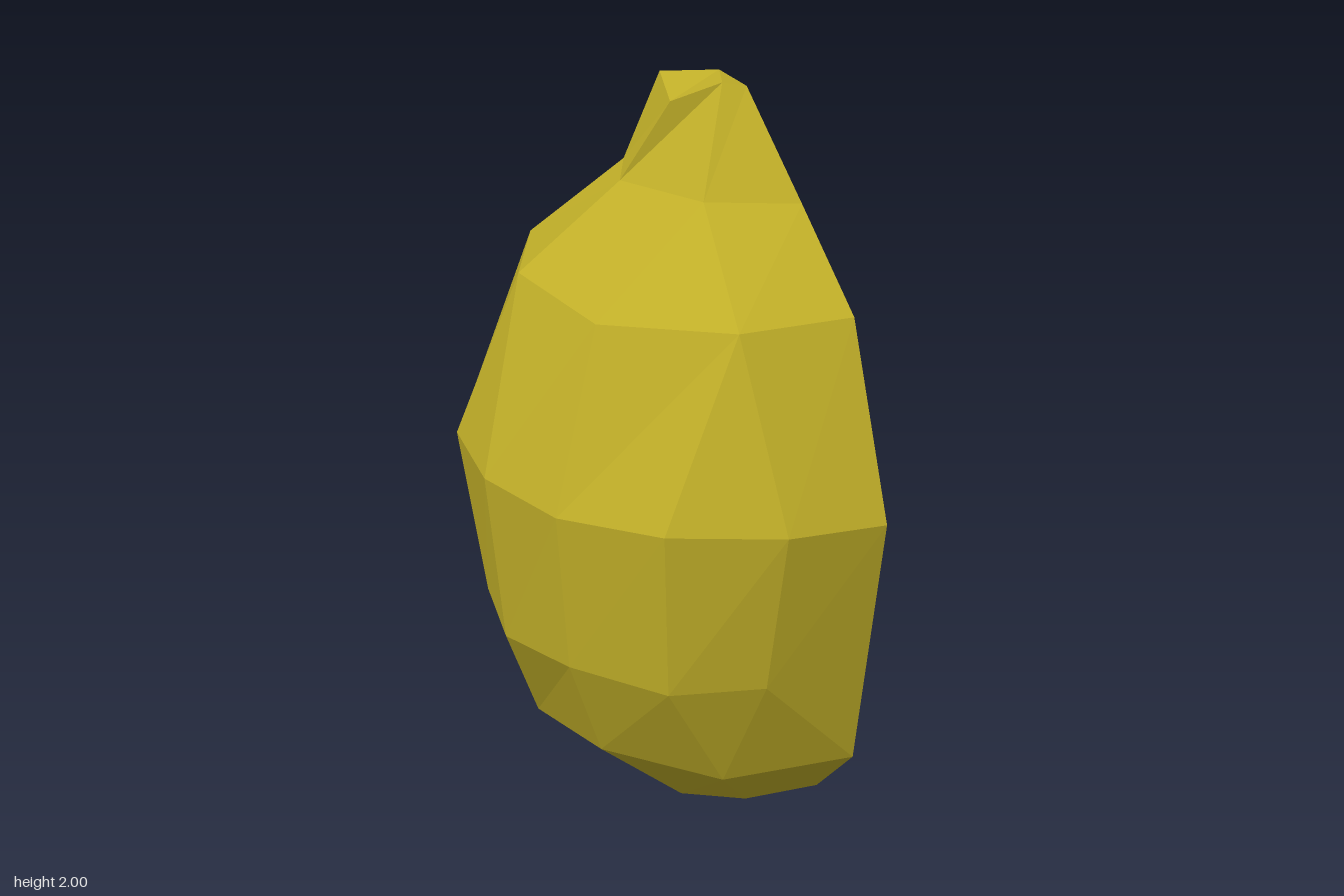
import * as THREE from 'three';

const material = (name, color) => {
  const m = new THREE.MeshStandardMaterial({ color });
  m.name = name;
  return m;
};

// Faceted skin over rows of points; repeated points collapse to triangles.
function facets(name, rows, mat, otherDiagonal = false) {
  const out = [];
  const tri = (...p) => {
    if (new Set(p.map(String)).size === 3) out.push(...p.flat());
  };
  for (let i = 0; i < rows.length - 1; i++) {
    for (let j = 0; j < rows[i].length - 1; j++) {
      const a = rows[i][j], b = rows[i][j + 1];
      const c = rows[i + 1][j + 1], d = rows[i + 1][j];
      if (otherDiagonal) { tri(a, b, d); tri(b, c, d); }
      else { tri(a, b, c); tri(a, c, d); }
    }
  }
  const g = new THREE.BufferGeometry();
  g.setAttribute('position', new THREE.Float32BufferAttribute(out, 3));
  g.computeVertexNormals();
  const mesh = new THREE.Mesh(g, mat);
  mesh.name = name;
  return mesh;
}

export function createModel() {
  const group = new THREE.Group();
  group.name = 'fruitWedge';
  const peel = material('peel', 0xc0ae28);
  const flesh = material('flesh', 0xb0de0c);
  const pith = material('pith', 0xd2cfb8);

  const top = [0.22, 2, -0.025], tip = [0.41, 0, -0.01];

  // Cut rims, from the stem end down to the pointed end
  const rimL = [[0.18, 1.99, 0.085], [0.155, 1.75, 0.265], [0.065, 1.55, 0.48],
    [0, 1.1, 0.63], [0.05, 0.44, 0.52], [0.26, 0.18, 0.27], tip];
  const rimR = [[0.18, 1.98, -0.17], [0.155, 1.755, -0.26], [0.065, 1.55, -0.48],
    [0, 1.1, -0.63], [0.05, 0.44, -0.52], [0.26, 0.18, -0.21], tip];

  // Peel: rings of seven points from the left rim round the back to the right rim
  const row = (r, p) => [rimL[r], ...p, rimR[r]];
  const mirrored = (r, p1, p2, mid) => {
    const m = ([x, y, z]) => [x, y, -z];
    return row(r, [p1, p2, mid, m(p2), m(p1)]);
  };
  const stemA = [0.14, 2, 0.045], stemB = [0.08, 1.95, -0.06];
  const neckA = [0, 1.76, 0.1], neckB = [0.03, 1.75, -0.17];
  const shoulder = [-0.16, 1.54, 0.325], lower = [-0.16, 0.39, 0.29], base = [0.08, 0.19, 0.18];
  group.add(facets('peel', [
    Array(7).fill(top),
    row(0, [stemA, stemA, stemA, stemB, stemB]),
    row(1, [neckA, neckA, neckA, neckB, neckB]),
    mirrored(2, shoulder, shoulder, [-0.27, 1.52, 0]),
    mirrored(3, [-0.2, 1.1, 0.5], [-0.36, 1.095, 0.27], [-0.42, 1.09, 0]),
    mirrored(4, [-0.18, 0.69, 0.43], [-0.32, 0.67, 0.25], [-0.38, 0.69, 0]),
    mirrored(4, lower, lower, [-0.265, 0.42, 0]),
    mirrored(5, base, base, [0.05, 0.155, 0]),
    Array(7).fill(tip),
  ], peel));

  // Flesh: cut faces between each rim and the pith strip
  const edgeL = [[0.245, 1.77, 0.05], [0.19, 0.95, 0.05], [0.24, 0.39, 0.07]];
  const edgeR = [[0.245, 1.77, -0.075], [0.19, 0.95, -0.055], [0.24, 0.38, -0.05]];
  const inner = ([a, b, c]) => [top, a, a, b, c, c, tip];
  const inL = inner(edgeL), inR = inner(edgeR);
  group.add(facets('fleshLeft', rimL.map((p, i) => [inL[i], p]), flesh));
  group.add(facets('fleshRight', rimR.map((p, i) => [p, inR[i]]), flesh, true));

  // Pith: narrow ridge along the inner edge
  const ridge = [[0.31, 1.87, -0.01], [0.25, 0.65, 0], [0.25, 0.65, 0]];
  group.add(facets('pithRidge', [
    [top, top, top],
    ...ridge.map((p, i) => [edgeR[i], p, edgeL[i]]),
    [tip, tip, tip],
  ], pith));

  return group;
}
